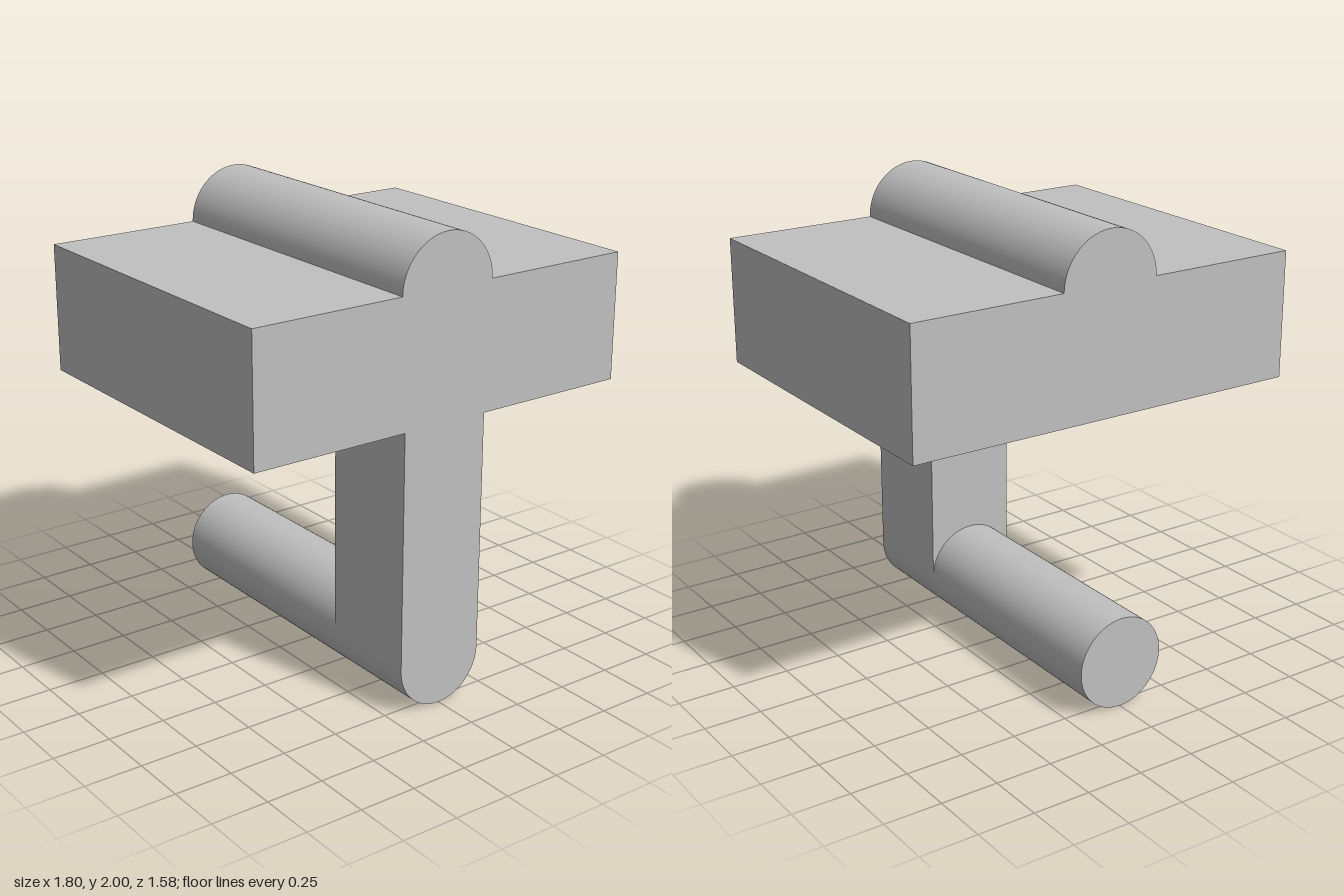
import * as THREE from 'three';
import { toCreasedNormals } from 'three/addons/utils/BufferGeometryUtils.js';

const FRONT = 0.79;

// Extrude a front profile from zBack to zFront, smooth on arcs, sharp at corners
function extrudeProfile(name, shape, zBack, zFront, material) {
  const geometry = new THREE.ExtrudeGeometry(shape, {
    depth: zFront - zBack, bevelEnabled: false, curveSegments: 40,
  });
  geometry.translate(0, 0, zBack);
  const mesh = new THREE.Mesh(toCreasedNormals(geometry, 0.5), material);
  mesh.name = name;
  return mesh;
}

export function createModel() {
  const group = new THREE.Group();
  group.name = 'ridgedBlockOnPost';
  const grey = new THREE.MeshStandardMaterial({ color: 0xc0c0c0 });
  grey.name = 'plain grey';

  // Wide block with a half-round ridge along its top
  const bottom = 1.23, top = 1.778, half = 0.9, ridge = 0.222;
  const head = new THREE.Shape();
  head.moveTo(-half, bottom);
  head.lineTo(half, bottom);
  head.lineTo(half, top);
  head.lineTo(ridge, top);
  head.absarc(0, top, ridge, 0, Math.PI, false);
  head.lineTo(-half, top);
  head.closePath();
  group.add(extrudeProfile('ridgedBlock', head, -0.675, FRONT, grey));

  // Upright post with a rounded foot, flush with the front of the block
  const r = 0.2, postBack = 0.34;
  const post = new THREE.Shape();
  post.moveTo(r, bottom);
  post.lineTo(-r, bottom);
  post.lineTo(-r, r);
  post.absarc(0, r, r, Math.PI, Math.PI * 2, false);
  post.closePath();
  group.add(extrudeProfile('post', post, postBack, FRONT, grey));

  // Round bar running back from the foot of the post
  const length = postBack + FRONT;
  const bar = new THREE.Mesh(new THREE.CylinderGeometry(r, r, length, 80), grey);
  bar.name = 'footBar';
  bar.rotation.x = Math.PI / 2;
  bar.position.set(0, r, postBack - length / 2);
  group.add(bar);

  return group;
}
